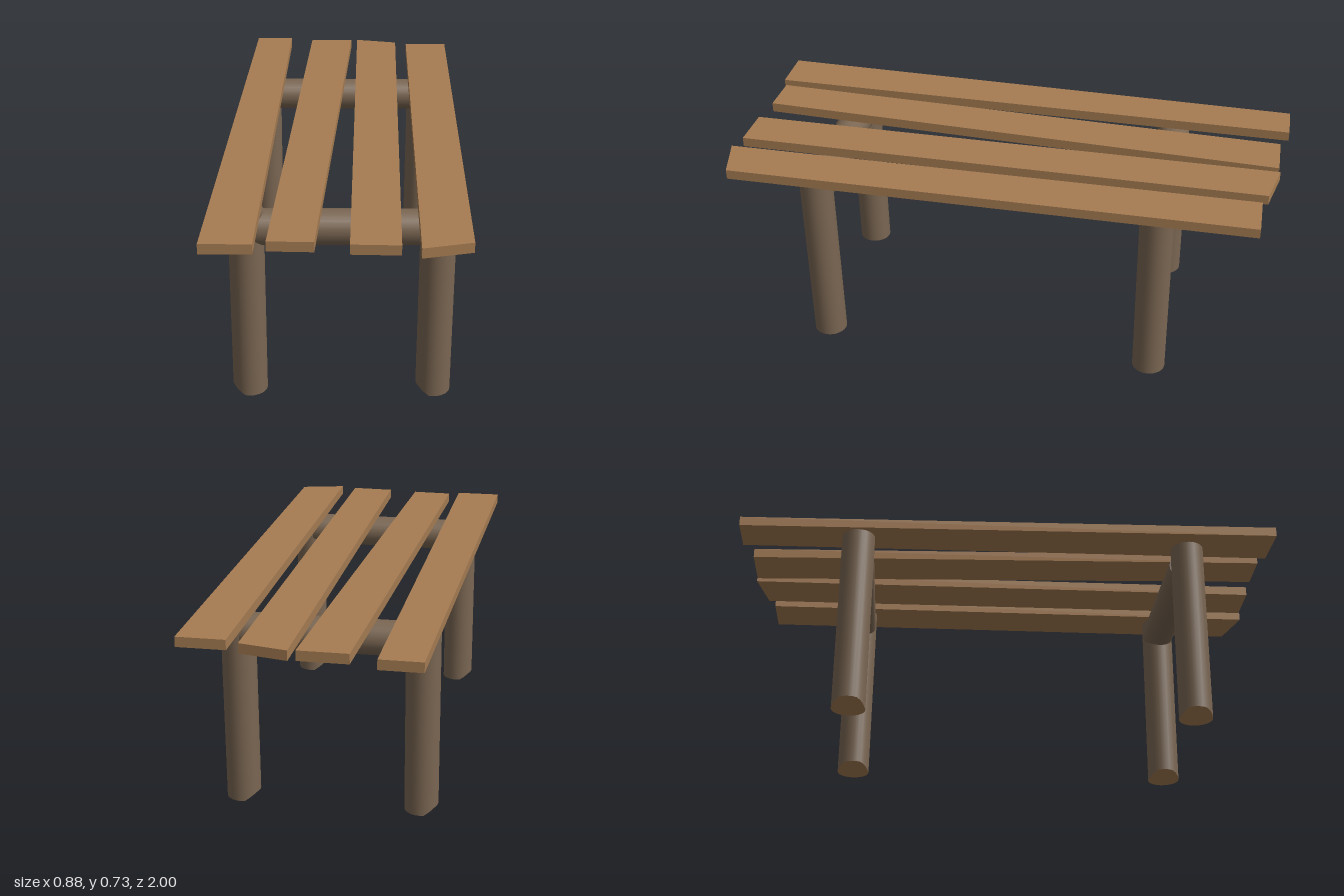
import * as THREE from 'three';

const LEG_HEIGHT = 0.69;
const RADIUS = 0.06;

export function createModel() {
  const bark = new THREE.MeshStandardMaterial({ color: 0x7a6652 });
  bark.name = 'bark';
  const wood = new THREE.MeshStandardMaterial({ color: 0xa67c52 });
  wood.name = 'cutWood';

  const table = new THREE.Group();
  table.name = 'rusticTable';

  const add = (name, geometry, material) => {
    const mesh = new THREE.Mesh(geometry, material);
    mesh.name = name;
    table.add(mesh);
    return mesh;
  };

  // Log leg, leaning slightly, with a chipped lower edge on its -x side
  const makeLeg = () => {
    const geometry = new THREE.CylinderGeometry(RADIUS, RADIUS, LEG_HEIGHT, 24);
    geometry.translate(0, LEG_HEIGHT / 2, 0);
    const p = geometry.attributes.position;
    for (let i = 0; i < p.count; i++) {
      const y = p.getY(i);
      if (y < 0.01) p.setY(i, THREE.MathUtils.clamp((-0.015 - p.getX(i)) * 0.65, 0, 0.025));
      p.setX(i, p.getX(i) + 0.003 * (y / LEG_HEIGHT - 0.5));
      p.setZ(i, p.getZ(i) + 0.006 * (y / LEG_HEIGHT - 0.5));
    }
    return geometry;
  };

  // Two log frames, each with two legs and a rail
  for (const [end, z] of [['front', 0.655], ['back', -0.571]]) {
    for (const [side, x] of [['Right', -0.315], ['Left', 0.322]]) {
      add(`${end}${side}Leg`, makeLeg(), [bark, bark, wood]).position.set(x, 0, z);
    }
    const rail = new THREE.CylinderGeometry(0.061, 0.061, 0.6, 24);
    rail.rotateZ(Math.PI / 2);
    add(`${end}Rail`, rail, bark).position.set(0.005, 0.629, z);
  }

  // Uneven planks: back pair then front pair of corners, as x and z
  const planks = [
    [[-0.37, -1], [-0.225, -1], [-0.27, 0.97], [-0.44, 0.97]],
    [[-0.135, -0.97], [0.035, -0.97], [-0.08, 0.955], [-0.23, 0.95]],
    [[0.06, -0.975], [0.225, -0.94], [0.19, 0.975], [0.03, 0.97]],
    [[0.27, -0.92], [0.437, -0.92], [0.415, 0.955], [0.25, 0.995]],
  ];
  planks.forEach((corners, i) => {
    const outline = new THREE.Shape(corners.map(([x, z]) => new THREE.Vector2(x, -z)));
    const geometry = new THREE.ExtrudeGeometry(outline, { depth: 0.035, bevelEnabled: false });
    geometry.rotateX(-Math.PI / 2);
    add(`plank${i + 1}`, geometry, wood).position.y = LEG_HEIGHT;
  });

  return table;
}
